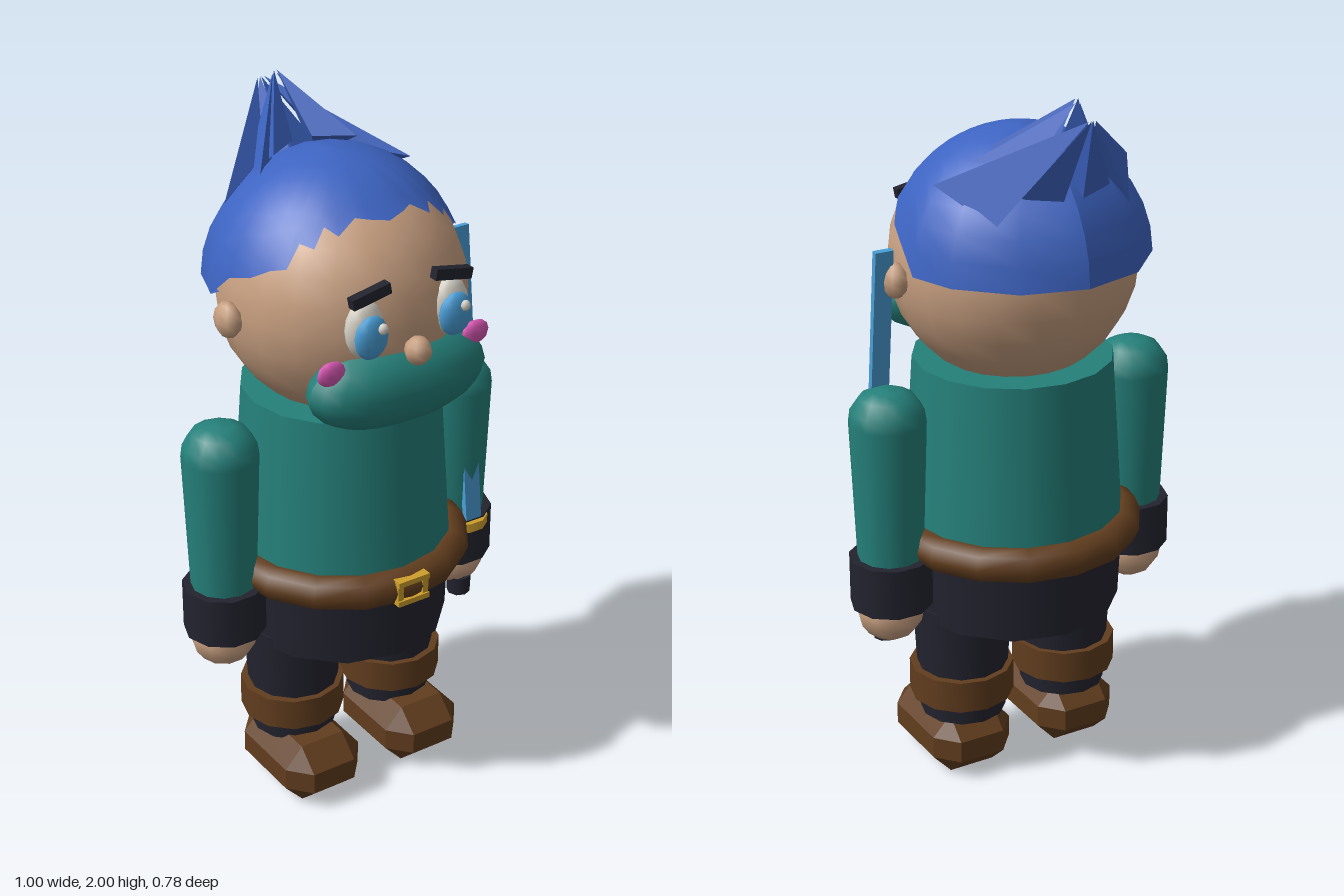
import * as THREE from 'three';
import { ConvexGeometry } from 'three/addons/geometries/ConvexGeometry.js';

const mat = (name, color, extra = {}) => {
  const m = new THREE.MeshStandardMaterial({ color, ...extra });
  m.name = name;
  return m;
};

export function createModel() {
  const hair = mat('hair blue', 0x3d64c2, { side: THREE.DoubleSide });
  const skin = mat('skin', 0xc79f80);
  const teal = mat('teal cloth', 0x25807a);
  const dark = mat('dark cloth', 0x23232f);
  const brown = mat('brown leather', 0x613d1e);
  const gold = mat('gold', 0xcf9f2c);
  const blue = mat('steel blue', 0x4a9fd8);
  const pink = mat('pink', 0xd958b4);
  const white = mat('eye white', 0xd6d2c8);

  const model = new THREE.Group();
  model.name = 'figure';
  const add = (name, geo, material, x = 0, y = 0, z = 0) => {
    const m = new THREE.Mesh(geo, material);
    m.name = name;
    m.position.set(x, y, z);
    model.add(m);
    return m;
  };
  const ball = (rx, ry = rx, rz = rx, w = 12, h = 8) =>
    new THREE.SphereGeometry(1, w, h).scale(rx, ry, rz);
  const tube = (rTop, rBottom, y0, y1, sides = 12) =>
    new THREE.CylinderGeometry(rTop, rBottom, y1 - y0, sides).rotateY(Math.PI / 2).translate(0, (y0 + y1) / 2, 0);
  const points = (list, s = 1) => list.map(([x, y, z]) => new THREE.Vector3(x * s, y, z));

  // Head and face
  add('head', ball(0.338, 0.335, 0.335, 20, 14), skin, 0, 1.5, 0);
  add('nose', ball(0.037, 0.039, 0.037, 8, 6), skin, 0, 1.45, 0.355);

  // Beard: an ellipsoid with fuller ends
  const beardGeo = ball(1, 1, 1, 18, 10);
  const bp = beardGeo.attributes.position;
  for (let i = 0; i < bp.count; i++) {
    const x = bp.getX(i);
    bp.setXYZ(i, Math.sign(x) * Math.abs(x) ** 0.85 * 0.27, bp.getY(i) * 0.122, bp.getZ(i) * 0.115);
  }
  beardGeo.computeVertexNormals();
  add('beard', beardGeo, teal, 0, 1.337, 0.262);

  // Hair cap: meridians that stop at a ragged hairline, angle from the front and rim height
  const rim = [[0, 1.755], [12, 1.765], [20, 1.772], [30, 1.737], [38, 1.757], [42, 1.71], [50, 1.72],
    [54, 1.66], [62, 1.65], [72, 1.62], [84, 1.6], [98, 1.525], [120, 1.525], [150, 1.525], [180, 1.525]];
  const ring = [...rim.slice(1).reverse().map(([a, y]) => [-a, y]), ...rim];
  const rows = 8, R = 0.35, headCentre = new THREE.Vector3(0, 1.5, 0);
  const pos = [], index = [];
  for (const [deg, y] of ring) {
    const a = THREE.MathUtils.degToRad(deg);
    const end = Math.acos((y - 1.52) / R);
    for (let j = 0; j <= rows; j++) {
      const t = (end * j) / rows;
      const p = new THREE.Vector3(R * Math.sin(t) * Math.sin(a), 1.52 + R * Math.cos(t), R * Math.sin(t) * Math.cos(a) - 0.04);
      p.sub(headCentre);
      if (p.length() < 0.343) p.setLength(0.343);
      pos.push(p.x, p.y + 1.5, p.z);
    }
  }
  for (let i = 0; i < ring.length - 1; i++) {
    for (let j = 0; j < rows; j++) {
      const a = i * (rows + 1) + j, b = a + rows + 1;
      index.push(a, a + 1, b + 1);
      if (j > 0) index.push(a, b + 1, b);
    }
  }
  const capGeo = new THREE.BufferGeometry();
  capGeo.setAttribute('position', new THREE.Float32BufferAttribute(pos, 3));
  capGeo.setIndex(index);
  capGeo.computeVertexNormals();
  add('hairCap', capGeo, hair);

  // Underside of the hair at the back
  const under = new THREE.Shape();
  [98, 120, 150, 180, 210, 240, 262].forEach((d, i) => {
    const a = THREE.MathUtils.degToRad(d);
    under[i ? 'lineTo' : 'moveTo'](0.35 * Math.sin(a), 0.35 * Math.cos(a) - 0.04);
  });
  add('hairUnderside', new THREE.ShapeGeometry(under).rotateX(Math.PI / 2), hair, 0, 1.525, 0);

  // Swept-back tuft: three facets of spikes on each side
  const spikes = [
    [[0.004, 2, -0.315], [0.03, 1.85, -0.185], [0.13, 1.85, -0.12], [0.1, 1.75, -0.28]],
    [[0.01, 1.96, -0.39], [0.29, 1.765, -0.1], [0.1, 1.81, -0.22], [0.2, 1.68, -0.26]],
    [[0.002, 1.96, -0.39], [0.004, 1.8, -0.24], [0.13, 1.75, -0.27], [0.03, 1.72, -0.3]],
    [[0.006, 1.99, -0.32], [0.2, 1.79, -0.08], [0.1, 1.83, -0.17], [0.16, 1.72, -0.24]],
  ];

  for (const s of [1, -1]) {
    const side = s > 0 ? 'left' : 'right';
    for (const spike of spikes) add(side + 'HairSpike', new ConvexGeometry(points(spike, s)), hair);

    // Face details
    add(side + 'Ear', ball(0.034, 0.05, 0.048, 8, 6), skin, s * 0.352, 1.49, 0.005);
    add(side + 'Eye', ball(0.056, 0.08, 0.035), white, s * 0.132, 1.525, 0.305);
    add(side + 'Iris', ball(0.05, 0.06, 0.024), blue, s * 0.13, 1.512, 0.335);
    add(side + 'EyeGlint', ball(0.015, 0.015, 0.012, 8, 6), white, s * 0.127 + 0.019, 1.538, 0.355);
    add(side + 'Cheek', ball(0.043, 0.034, 0.016, 10, 6), pink, s * 0.225, 1.42, 0.296);
    const brow = add(side + 'Eyebrow', new THREE.BoxGeometry(0.115, 0.03, 0.026), dark, s * 0.126, 1.622, 0.32);
    brow.rotation.z = s * -0.19;

    // Arm
    const sleeve = [[0.088, 0.62], [0.105, 1.1], [0.1, 1.135], [0.075, 1.172], [0.04, 1.188], [0, 1.192]];
    add(side + 'Sleeve', new THREE.LatheGeometry(sleeve.map(p => new THREE.Vector2(...p)), 12), teal, s * 0.385);
    add(side + 'Cuff', tube(0.115, 0.115, 0.56, 0.705, 10), dark, s * 0.385);
    add(side + 'Hand', ball(0.094, 0.09, 0.094, 10, 8), skin, s * 0.39, 0.54, 0);

    // Leg
    add(side + 'Leg', tube(0.14, 0.122, 0.17, 0.52), dark, s * 0.165);
    add(side + 'BootCuff', tube(0.148, 0.148, 0.225, 0.318), brown, s * 0.168);

    // Boot: a box with every edge and corner cut
    const corners = [];
    for (const x of [-1, 1]) for (const y of [-1, 1]) for (const z of [-1, 1]) {
      corners.push([x * 0.123, y * 0.032, z * 0.112], [x * 0.068, y * 0.092, z * 0.112], [x * 0.068, y * 0.032, z * 0.176]);
    }
    add(side + 'Boot', new ConvexGeometry(points(corners)), brown, s * 0.172, 0.092, 0.05);
  }

  // Body
  add('tunic', tube(0.276, 0.31, 0.72, 1.225, 16), teal);
  add('shorts', tube(0.308, 0.298, 0.49, 0.75), dark);
  add('belt', new THREE.TorusGeometry(0.312, 0.05, 8, 16).rotateX(Math.PI / 2), brown, 0, 0.73, 0);
  for (const y of [0.7, 0.76]) add('buckleBar', new THREE.BoxGeometry(0.1, 0.016, 0.03), gold, 0, y, 0.345);
  for (const x of [-0.04, 0.04]) add('buckleSide', new THREE.BoxGeometry(0.018, 0.06, 0.02), gold, x, 0.73, 0.345);

  // Sword held in the left hand, leaning back along the arm
  const blade = add('swordBlade', new THREE.BoxGeometry(0.052, 0.88, 0.018), blue, 0.385, 1.14, 0.05);
  blade.rotation.x = -0.115;
  add('swordGuard', tube(0.07, 0.07, 0.672, 0.7, 10), gold, 0.385, 0, 0.058);
  add('swordHandle', tube(0.026, 0.026, 0.46, 0.68, 8), dark, 0.385, 0, 0.045);
  add('swordPommel', tube(0.036, 0.034, 0.43, 0.485, 8), dark, 0.385, 0, 0.045);

  return model;
}
